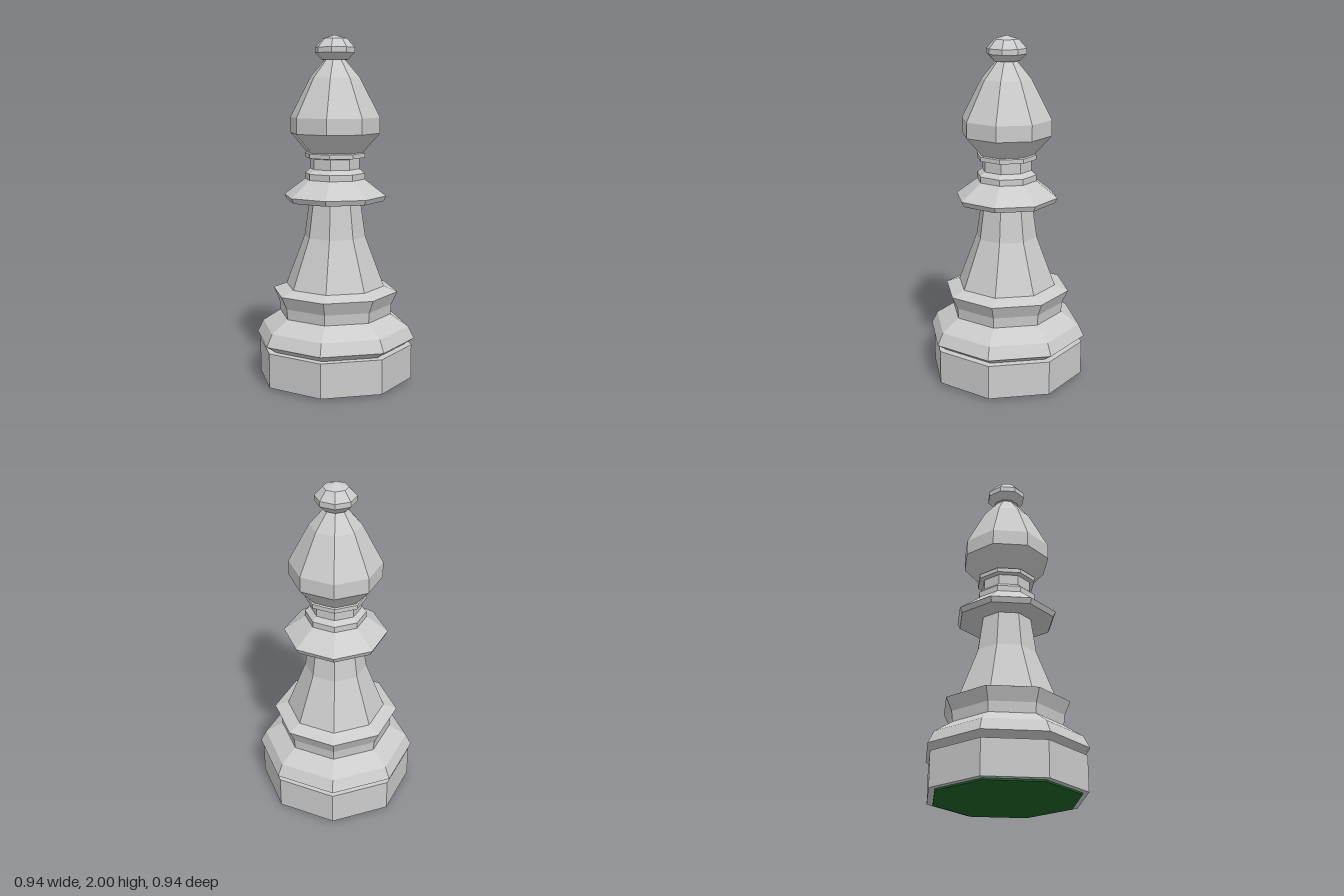
import * as THREE from 'three';

const SIDES = 8;

export function createModel() {
  const group = new THREE.Group();
  const grey = new THREE.MeshStandardMaterial({ color: 0xcccccc, flatShading: true });
  const green = new THREE.MeshStandardMaterial({ color: 0x1f5f28, flatShading: true });

  // Eight-sided turned part from [radius, height] pairs, listed bottom to top
  function turned(name, profile, material = grey) {
    const points = profile.map(([r, y]) => new THREE.Vector2(r, y));
    const mesh = new THREE.Mesh(new THREE.LatheGeometry(points, SIDES), material);
    mesh.name = name;
    group.add(mesh);
  }

  // Felt pad under the base
  turned('feltPad', [[0, 0], [0.42, 0], [0.42, 0.01]], green);

  // Straight plinth with a flat rim underneath and a small ledge on top
  turned('plinth', [[0.42, 0.01], [0.455, 0.01], [0.455, 0.21], [0.41, 0.21]]);

  // Flared foot moulding
  turned('foot', [[0.41, 0.21], [0.47, 0.25], [0.435, 0.32], [0.33, 0.39], [0.335, 0.45]]);

  // Collar below the stem
  turned('lowerCollar', [[0.335, 0.45], [0.37, 0.525], [0.29, 0.555]]);

  // Tapering stem
  turned('stem', [[0.29, 0.555], [0.18, 0.845], [0.15, 1.055]]);

  // Wide flange above the stem
  turned('flange', [[0.15, 1.055], [0.285, 1.055], [0.3, 1.085], [0.175, 1.18]]);

  // Neck with a ring at each end
  turned('neck', [
    [0.175, 1.18], [0.175, 1.215], [0.145, 1.24], [0.145, 1.3],
    [0.175, 1.305], [0.175, 1.33], [0.165, 1.335],
  ]);

  // Pointed head
  turned('head', [[0.165, 1.335], [0.262, 1.445], [0.262, 1.535], [0.145, 1.76], [0.06, 1.86]]);

  // Small finial on top
  turned('finial', [[0.06, 1.86], [0.075, 1.86], [0.115, 1.9], [0.115, 1.93], [0.07, 1.98], [0, 2]]);

  return group;
}
